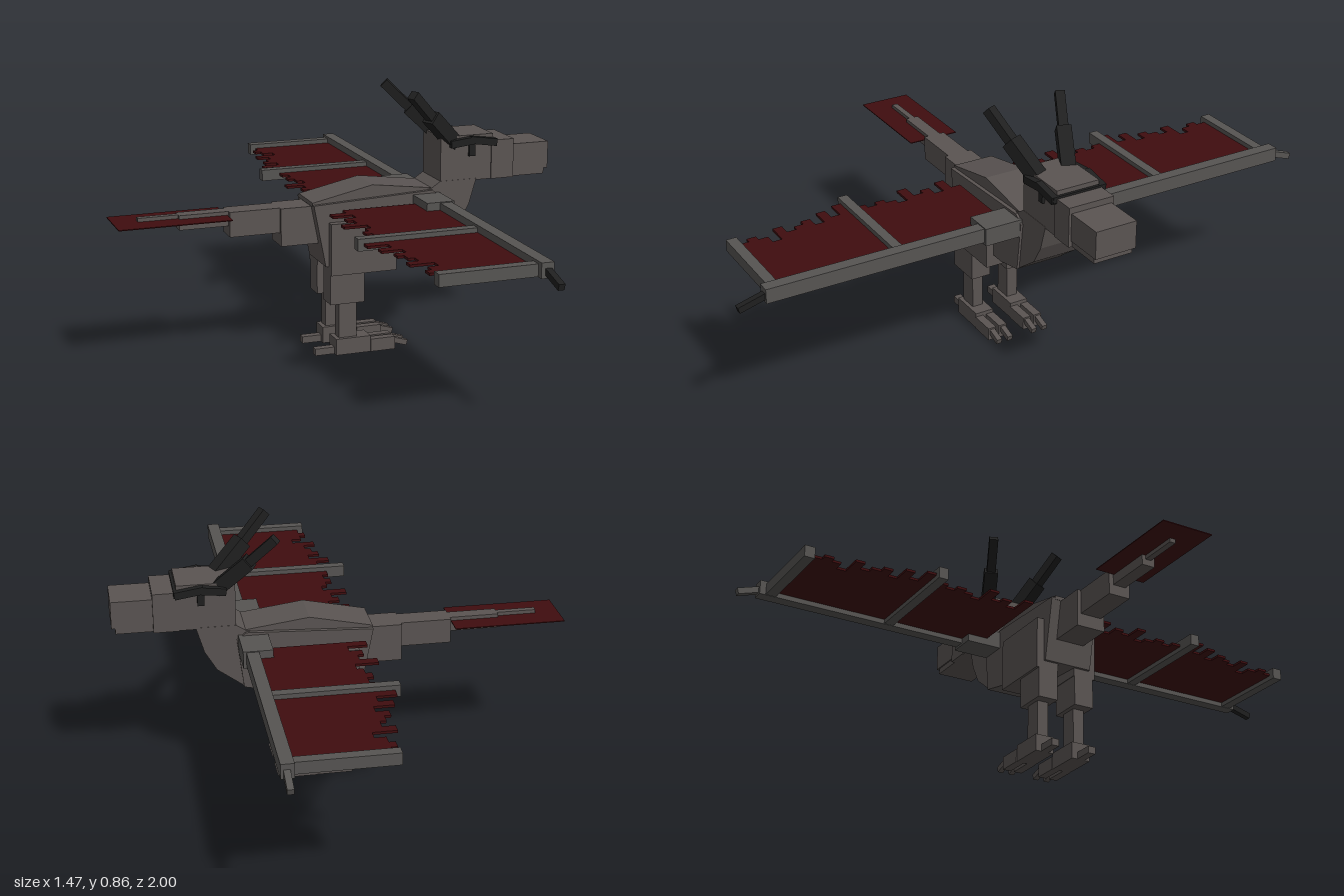
import * as THREE from 'three';

const mat = (name, color) => {
  const m = new THREE.MeshStandardMaterial({ color });
  m.name = name;
  return m;
};

export function createModel() {
  const grey = mat('stoneGrey', 0x5a5452);
  const wingGrey = mat('wingGrey', 0x565452);
  const black = mat('hornBlack', 0x1f1f1f);
  const red = mat('membraneRed', 0x3f0d0f);
  const model = new THREE.Group();
  model.name = 'wingedBeast';

  // Box from minimum and maximum corners
  const box = (name, m, [x0, x1], [y0, y1], [z0, z1], parent = model) => {
    const mesh = new THREE.Mesh(new THREE.BoxGeometry(x1 - x0, y1 - y0, Math.abs(z1 - z0)), m);
    mesh.position.set((x0 + x1) / 2, (y0 + y1) / 2, (z0 + z1) / 2);
    mesh.name = name;
    parent.add(mesh);
    return mesh;
  };
  // Square bar between two points
  const bar = (name, m, a, b, w, parent = model, h = w) => {
    const p = new THREE.Vector3(...a), q = new THREE.Vector3(...b);
    const mesh = new THREE.Mesh(new THREE.BoxGeometry(w, h, p.distanceTo(q)), m);
    mesh.position.copy(p).add(q).multiplyScalar(0.5);
    mesh.lookAt(q);
    mesh.name = name;
    parent.add(mesh);
    return mesh;
  };
  // Side profile extruded across the body
  const slab = (name, pts, half) => {
    const shape = new THREE.Shape(pts.map(([x, y]) => new THREE.Vector2(x, y)));
    const geo = new THREE.ExtrudeGeometry(shape, { depth: half * 2, bevelEnabled: false });
    const mesh = new THREE.Mesh(geo.translate(0, 0, -half), grey);
    mesh.name = name;
    model.add(mesh);
  };

  // Torso, back ridge and curved neck
  slab('torso', [[-0.1, 0.506], [-0.06, 0.3], [0.17, 0.315], [0.22, 0.314], [0.32, 0.335],
    [0.34, 0.5], [0.31, 0.525]], 0.083);
  slab('backRidge', [[-0.1, 0.5], [0.31, 0.5], [0.31, 0.53], [0.105, 0.557], [-0.1, 0.513]], 0.07);
  slab('neck', [[0.22, 0.318], [0.32, 0.337], [0.405, 0.4], [0.443, 0.465], [0.468, 0.55],
    [0.34, 0.55], [0.31, 0.53], [0.22, 0.5]], 0.075);

  // Tail segments shrinking toward the tip, with a flat fin
  [[-0.2, -0.06, 0.373, 0.05], [-0.366, -0.2, 0.416, 0.037],
    [-0.527, -0.366, 0.45, 0.022], [-0.657, -0.527, 0.47, 0.01]].forEach(([x0, x1, y0, h], i) =>
    box('tailSegment' + (i + 1), grey, [x0, x1], [y0, 0.498], [-h, h]));
  box('tailFin', red, [-0.735, -0.37], [0.483, 0.486], [-0.087, 0.087]);

  // Head, muzzle and jaw
  box('crown', grey, [0.34, 0.525], [0.545, 0.697], [-0.074, 0.074]);
  box('face', grey, [0.52, 0.6], [0.545, 0.675], [-0.078, 0.078]);
  box('muzzle', grey, [0.6, 0.73], [0.565, 0.655], [-0.07, 0.07]);
  box('jaw', grey, [0.6, 0.718], [0.545, 0.565], [-0.066, 0.066]);

  // Edge of each membrane strip, from wing tip inward
  const outer = [0, -0.02, 0, 0.035, -0.04, 0, -0.02, -0.04, 0, -0.065, -0.02, -0.085];
  const inner = [-0.04, -0.02, -0.04, -0.02, 0, -0.075, -0.02, -0.04, 0, -0.065];

  for (const s of [1, -1]) {
    const side = s > 0 ? 'front' : 'back';
    const z = (a, b) => (s > 0 ? [a, b] : [-b, -a]);

    // Wing bones
    const wing = new THREE.Group();
    wing.name = side + 'Wing';
    model.add(wing);
    box('shoulder', wingGrey, [0.24, 0.335], [0.457, 0.515], z(0.06, 0.203), wing);
    box('wingArm', wingGrey, [0.285, 0.325], [0.465, 0.512], z(0.2, 0.922), wing);
    box('outerRib', wingGrey, [-0.02, 0.29], [0.466, 0.504], z(0.868, 0.902), wing);
    box('middleRib', wingGrey, [-0.103, 0.285], [0.466, 0.504], z(0.458, 0.49), wing);
    bar('wingClaw', s > 0 ? black : wingGrey, [0.307, 0.488, s * 0.91],
      [0.307, 0.462, s * (s > 0 ? 1.004 : 0.989)], 0.02, wing);

    // Ragged membrane
    const strips = (edges, z0, w) => edges.forEach((x, i) =>
      box('membraneStrip', red, [x, 0.288], [0.481, 0.489], z(z0 - (i + 1) * w, z0 - i * w), wing));
    strips(outer, 0.868, 0.0315);
    strips(s > 0 ? [...inner, -0.01] : inner, 0.458, 0.0326);

    // Leg and clawed foot
    const leg = new THREE.Group();
    leg.name = side + 'Leg';
    model.add(leg);
    box('thigh', grey, [-0.05, 0.175], [0.275, 0.447], z(0.03, 0.108), leg);
    box('upperShin', grey, [-0.05, 0.067], [0.175, 0.277], z(0.032, 0.1), leg);
    box('lowerShin', grey, [-0.016, 0.045], [0.05, 0.176], z(0.047, 0.085), leg);
    box('foot', grey, [-0.03, 0.09], [0, 0.055], z(0.034, 0.098), leg);
    box('heelToe', grey, [-0.095, -0.03], [0, 0.023], z(0.053, 0.079), leg);
    for (const c of [0.046, 0.086]) {
      box('toe', grey, [0.09, 0.175], [0, 0.043], z(c - 0.014, c + 0.014), leg);
      bar('claw', grey, [0.17, 0.03, s * c], [0.22, 0.015, s * c], 0.018, leg);
    }

    // Horn in two thicknesses, with a dark brow
    const horn = new THREE.Group();
    horn.name = side + 'Horn';
    model.add(horn);
    bar('hornBase', black, [0.395, 0.67, s * 0.05], [0.295, 0.77, s * 0.092], 0.046, horn);
    bar('hornTip', black, [0.305, 0.76, s * 0.088], [0.218, 0.852, s * 0.126], 0.03, horn);
    bar('browRear', black, [0.37, 0.673, s * 0.083], [0.45, 0.682, s * 0.083], 0.024, horn);
    bar('browFront', black, [0.44, 0.684, s * 0.083], [0.532, 0.67, s * 0.083], 0.024, horn);
    box('browSpike', black, [0.438, 0.46], [0.628, 0.68], z(0.07, 0.083), horn);
  }
  // Front brow bar across the forehead
  box('browBar', black, [0.512, 0.534], [0.662, 0.682], [-0.09, 0.09]);

  model.children.forEach((c) => { c.position.z -= 0.01; });
  return model;
}
